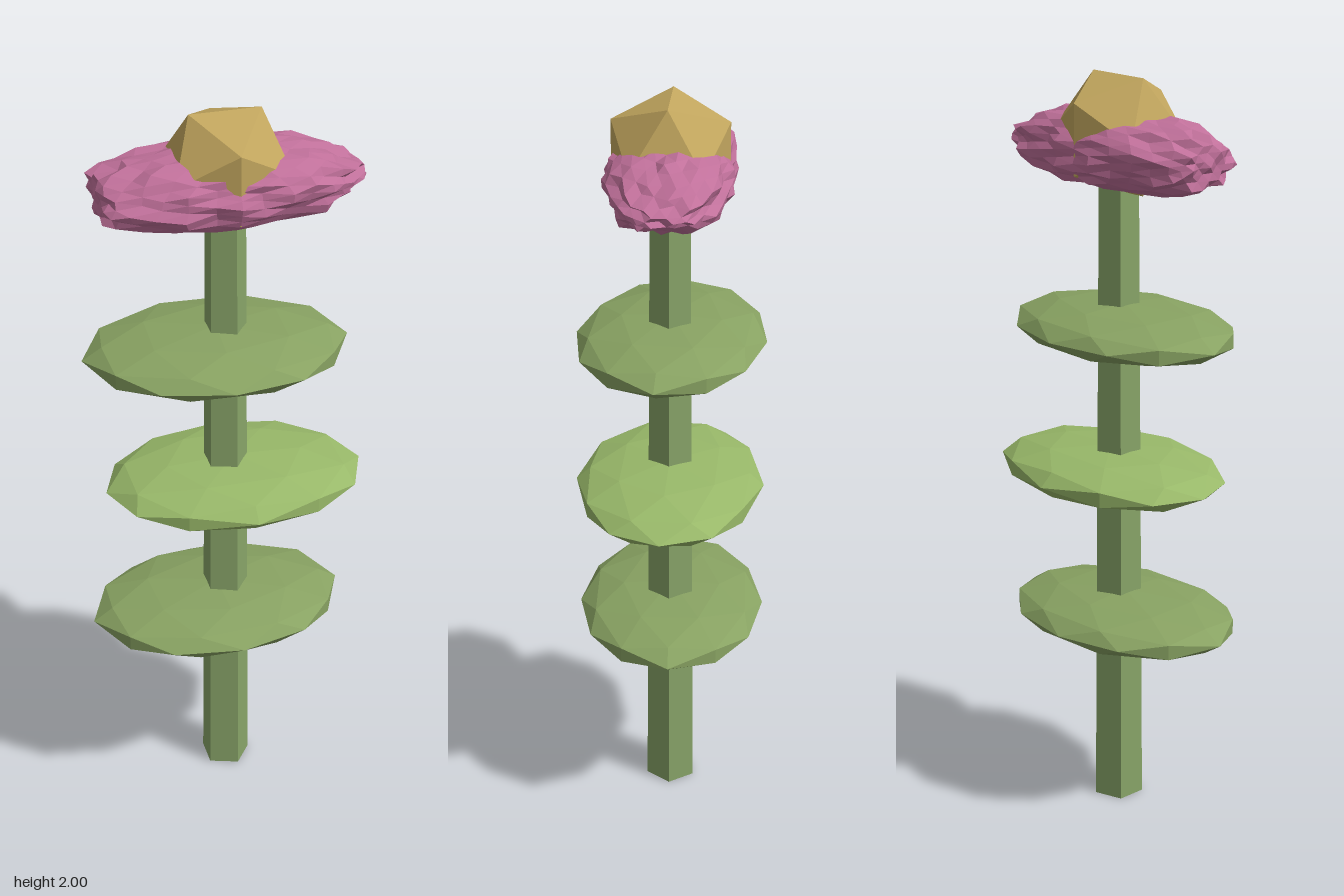
import * as THREE from 'three';

const mat = (color) => new THREE.MeshStandardMaterial({ color, flatShading: true });

function add(parent, name, geometry, material, x, y, z = 0) {
  const mesh = new THREE.Mesh(geometry, material);
  mesh.name = name;
  mesh.position.set(x, y, z);
  parent.add(mesh);
  return mesh;
}

// Repeatable value in 0..1 for a point, so shared corners move together
function hash(v) {
  const s = Math.sin(Math.round(v.x * 500) * 12.99 + Math.round(v.y * 500) * 78.23 + Math.round(v.z * 500) * 37.72) * 4375.85;
  return s - Math.floor(s);
}

// Flattened ball of ragged petals: corners are pulled in or out to make spikes
function petalGeometry() {
  const geometry = new THREE.IcosahedronGeometry(1, 5);
  const pos = geometry.attributes.position;
  const v = new THREE.Vector3();
  for (let i = 0; i < pos.count; i++) {
    v.fromBufferAttribute(pos, i).normalize();
    const spike = 0.87 + 0.15 * hash(v);
    const fullness = 1 / Math.pow(Math.abs(v.x) ** 2.4 + Math.abs(v.y) ** 2.4 + Math.abs(v.z) ** 2.4, 1 / 2.4);
    v.multiplyScalar(spike * fullness);
    // Blunt on the right side, pointed on the left
    const x = v.x < 0 ? Math.max(v.x * 0.38, -0.34 + 0.02 * hash(v)) : v.x * 0.36;
    const taper = v.x > 0.6 ? 1 - (v.x - 0.6) * 0.9 : 1;
    pos.setXYZ(i, x, v.y * 0.1 * taper, v.z * 0.167);
  }
  geometry.computeVertexNormals();
  return geometry;
}

export function createModel() {
  const group = new THREE.Group();

  // Five-sided tapering stem with one edge towards +x
  add(group, 'stem', new THREE.CylinderGeometry(0.054, 0.068, 1.8, 5, 1, false, Math.PI / 2), mat(0x88a468), 0, 0.9);

  // Three flat leaves, shifted to alternate sides
  const leafTurns = [0.05, 0, -0.05];
  leafTurns.forEach((turn, i) => {
    const middle = i === 1;
    const geometry = new THREE.IcosahedronGeometry(1, 1);
    if (!middle) geometry.rotateY(Math.PI / 2);
    geometry.scale(0.35, 0.065, 0.25);
    const leaf = add(group, 'leaf' + (i + 1), geometry, mat(middle ? 0x98b869 : 0x88a262), middle ? 0.025 : -0.025, 0.545 + 0.4 * i);
    leaf.rotation.y = turn;
  });

  // Flower head
  add(group, 'petals', petalGeometry(), mat(0xc0709a), 0, 1.81);
  add(group, 'flowerCentre', new THREE.IcosahedronGeometry(0.176, 0), mat(0xc2a65e), 0, 1.85);

  return group;
}
